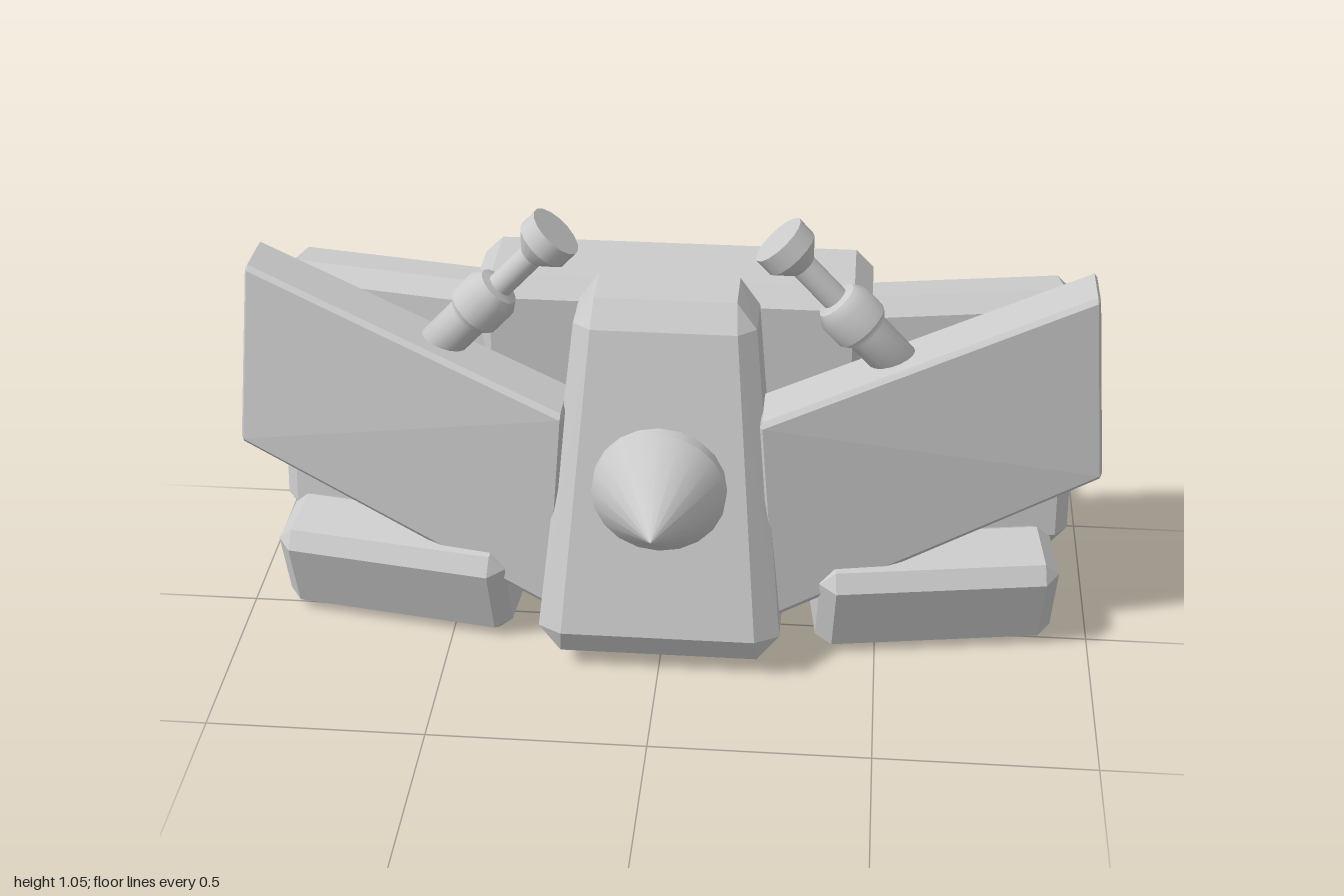
import * as THREE from 'three';
import { ConvexGeometry } from 'three/addons/geometries/ConvexGeometry.js';

const V = (x, y, z) => new THREE.Vector3(x, y, z);

// Solid with bevelled edges inside eight corners.
// Corners run inner/outer fastest, then bottom/top, then back/front.
// Insets are the bevel as a fraction of each direction.
function bevelled(corners, [bu, bv, bw]) {
  const at = (u, v, w) => {
    const p = V(0, 0, 0);
    corners.forEach((c, i) => {
      const k = (i & 1 ? u : 1 - u) * (i & 2 ? v : 1 - v) * (i & 4 ? w : 1 - w);
      p.addScaledVector(c, k);
    });
    return p;
  };
  const inset = (t, b) => (t ? 1 - b : b);
  const points = [];
  for (const u of [0, 1]) for (const v of [0, 1]) for (const w of [0, 1]) {
    points.push(
      at(u, inset(v, bv), inset(w, bw)),
      at(inset(u, bu), v, inset(w, bw)),
      at(inset(u, bu), inset(v, bv), w));
  }
  return new ConvexGeometry(points);
}

// Eight corners of a turned box, optionally mirrored in x
function boxCorners(size, centre, tilt = 0, yaw = 0, side = 1) {
  const turn = new THREE.Euler(tilt, yaw, 0, 'YXZ');
  const out = [];
  for (const z of [-0.5, 0.5]) for (const y of [-0.5, 0.5]) for (const x of [-0.5, 0.5]) {
    const p = V(x * size[0], y * size[1], z * size[2]).applyEuler(turn);
    p.add(V(...centre));
    p.x *= side;
    out.push(p);
  }
  return out;
}

const bevelOf = (size, b) => size.map((s) => b / s);

export function createModel() {
  const model = new THREE.Group();
  const grey = new THREE.MeshStandardMaterial({ color: 0xcccccc });
  grey.name = 'lightGrey';

  const add = (name, geometry) => {
    const mesh = new THREE.Mesh(geometry, grey);
    mesh.name = name;
    model.add(mesh);
    return mesh;
  };

  // Large block at the back
  const backSize = [0.92, 0.745, 0.277];
  add('backBlock', bevelled(boxCorners(backSize, [0, 0.4625, -0.258]), bevelOf(backSize, 0.042)));

  // Leaning, tapered centre body
  add('centreBody', bevelled([
    V(-0.285, 0.018, 0.01), V(0.285, 0.018, 0.01), V(-0.2, 0.875, -0.14), V(0.2, 0.875, -0.14),
    V(-0.285, 0.06, 0.255), V(0.285, 0.06, 0.255), V(-0.2, 0.875, 0.05), V(0.2, 0.875, 0.05),
  ], [0.1, 0.07, 0.17]));

  // Pointed cone on a short collar
  const cone = add('noseCone', new THREE.ConeGeometry(0.152, 0.205, 20, 1, true));
  cone.rotation.x = Math.PI / 2;
  cone.position.set(0, 0.48, 0.2975);
  const collar = add('coneCollar', new THREE.CylinderGeometry(0.152, 0.152, 0.03, 20));
  collar.rotation.x = Math.PI / 2;
  collar.position.set(0, 0.48, 0.18);

  // Barrel profile: radius and distance from the base
  const barrelProfile = [
    [0, 0], [0.05, 0], [0.05, 0.12], [0.066, 0.14], [0.066, 0.14], [0.066, 0.2],
    [0.05, 0.225], [0.05, 0.225], [0.03, 0.23], [0.03, 0.23], [0.03, 0.335],
    [0.03, 0.335], [0.066, 0.375], [0.066, 0.375], [0.066, 0.42], [0.066, 0.42], [0, 0.42],
  ].map(([r, d]) => new THREE.Vector2(r, d));

  for (const side of [1, -1]) {
    const label = side > 0 ? 'left' : 'right';

    // Rear panel, swept back
    const rearSize = [0.62, 0.655, 0.165];
    add(label + 'RearPanel', bevelled(
      boxCorners(rearSize, [0.635, 0.465, -0.237], -0.1, 0.17, side), bevelOf(rearSize, 0.038)));

    // Front wing, rising outwards
    add(label + 'FrontWing', bevelled([
      V(0.26, 0.1, -0.01), V(1, 0.44, -0.165), V(0.22, 0.63, -0.02), V(0.96, 0.893, -0.177),
      V(0.26, 0.12, 0.142), V(1, 0.45, 0), V(0.22, 0.635, 0.14), V(0.96, 0.897, -0.03),
    ].map((p) => p.multiply(V(side, 1, 1))), [0.008, 0.025, 0.07]));

    // Foot, tipped forward
    const footSize = [0.56, 0.245, 0.19];
    add(label + 'Foot', bevelled(
      boxCorners(footSize, [0.63, 0.14, 0], 0.26, 0.16, side), bevelOf(footSize, 0.035)));

    // Barrel pointing up and inwards
    const barrel = add(label + 'Barrel', new THREE.LatheGeometry(barrelProfile, 16));
    barrel.position.set(side * 0.532, 0.708, -0.022);
    barrel.rotation.z = side * 0.75;
  }
  return model;
}
